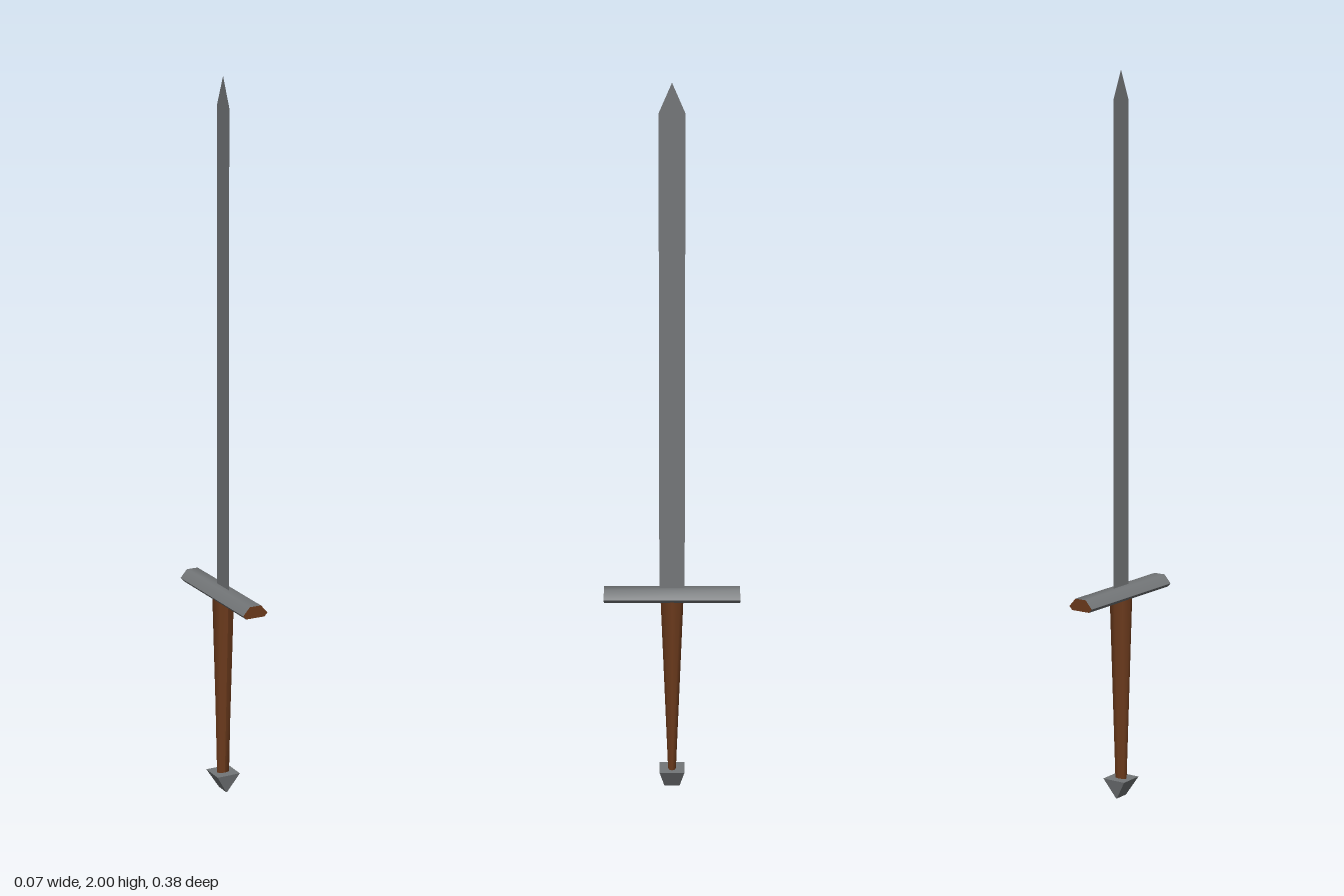
import * as THREE from 'three';
import { toCreasedNormals } from 'three/addons/utils/BufferGeometryUtils.js';

const shapeOf = pts => new THREE.Shape(pts.map(([x, y]) => new THREE.Vector2(x, y)));

export function createModel() {
  const group = new THREE.Group();
  const steel = new THREE.MeshStandardMaterial({ color: 0x737678 });
  const bladeSteel = new THREE.MeshStandardMaterial({ color: 0x737678, side: THREE.DoubleSide });
  const wood = new THREE.MeshStandardMaterial({ color: 0x6b3a1c });
  steel.name = 'steel';
  bladeSteel.name = 'blade steel';
  wood.name = 'brown wood';

  const add = (name, geometry, material) => {
    const mesh = new THREE.Mesh(geometry, material);
    mesh.name = name;
    group.add(mesh);
  };

  // Blade: a flat sheet in the yz plane with a pointed tip
  const blade = new THREE.ShapeGeometry(shapeOf([
    [-0.035, 0.585], [0.035, 0.585], [0.035, 1.92], [0, 2], [-0.035, 1.92],
  ]));
  blade.rotateY(Math.PI / 2);
  add('blade', blade, bladeSteel);

  // Crossguard: six-sided bar along z with brown ends
  const guard = new THREE.ExtrudeGeometry(shapeOf([
    [-0.028, 0.567], [0.028, 0.567], [0.037, 0.577],
    [0.017, 0.6], [-0.017, 0.6], [-0.037, 0.577],
  ]), { depth: 0.376, bevelEnabled: false });
  guard.translate(0, 0, -0.188);
  const groups = guard.groups.map(g => ({ ...g }));
  const smoothGuard = toCreasedNormals(guard, 1.0);
  smoothGuard.clearGroups();
  groups.forEach(g => smoothGuard.addGroup(g.start, g.count, g.materialIndex));
  add('crossguard', smoothGuard, [wood, steel]);

  // Grip: eight-sided, round at the guard and flattened at the pommel
  const grip = new THREE.CylinderGeometry(1, 1, 1, 8, 1);
  const p = grip.attributes.position;
  for (let i = 0; i < p.count; i++) {
    const t = p.getY(i) + 0.5;
    p.setXYZ(i,
      p.getX(i) * THREE.MathUtils.lerp(0.019, 0.031, t),
      THREE.MathUtils.lerp(0.05, 0.575, t),
      p.getZ(i) * THREE.MathUtils.lerp(0.011, 0.032, t));
  }
  grip.computeVertexNormals();
  add('grip', grip, wood);

  // Pommel: square block narrowing to a short ridge along z
  const pommel = new THREE.BoxGeometry(0.07, 0.055, 0.07);
  const q = pommel.attributes.position;
  for (let i = 0; i < q.count; i++) {
    if (q.getY(i) < 0) q.setXYZ(i, q.getX(i) * 0.04, q.getY(i), q.getZ(i) * 0.62);
  }
  pommel.translate(0, 0.0275, 0);
  pommel.computeVertexNormals();
  add('pommel', pommel, steel);

  return group;
}
